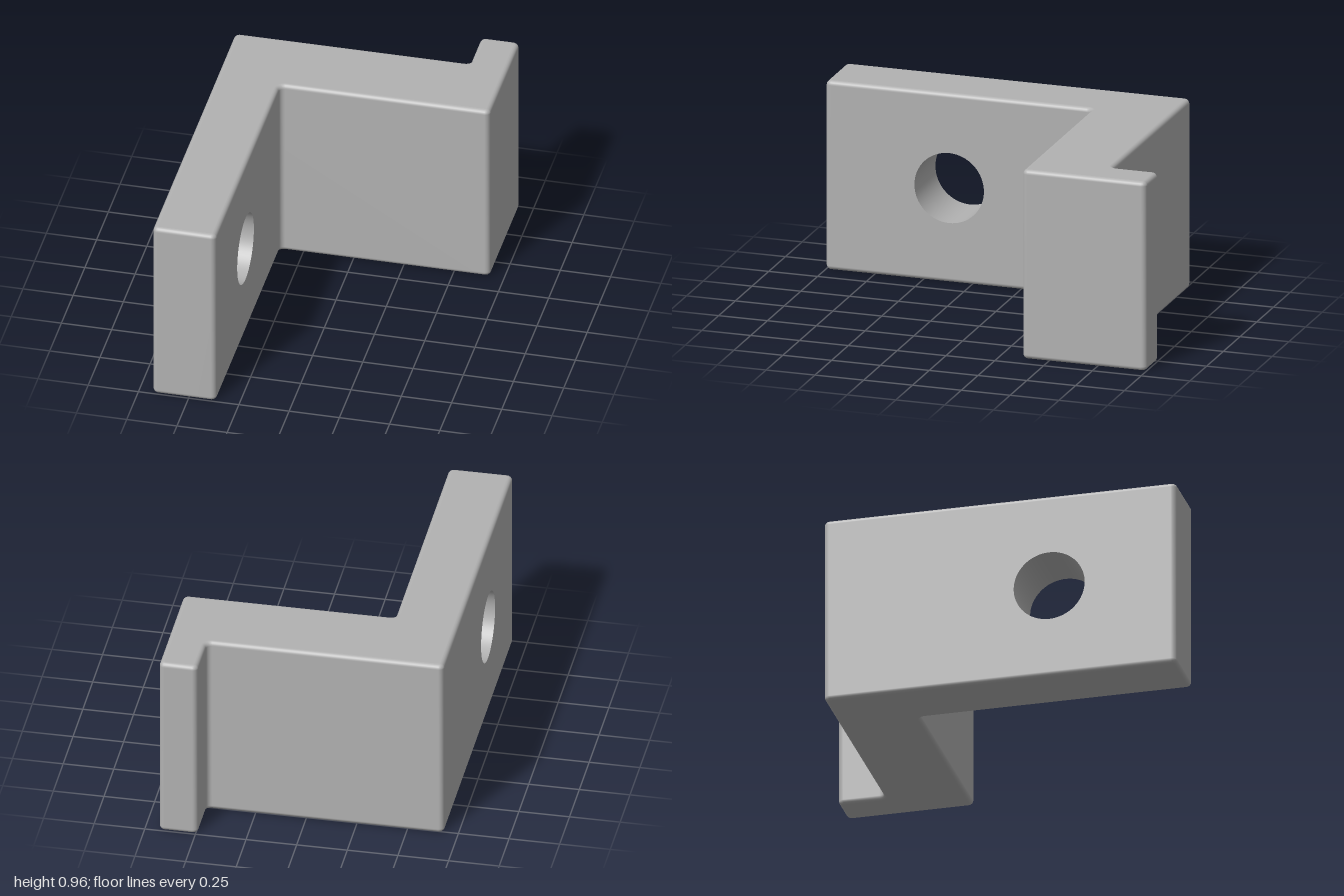
import * as THREE from 'three';
import { mergeVertices } from 'three/addons/utils/BufferGeometryUtils.js';

const HEIGHT = 0.96;
const BEVEL = 0.022;        // rounding of top and bottom edges
const FILLET = 0.027;       // rounding of vertical edges
const OUTER_X = -0.68, INNER_X = -0.365;
const HOLE = { z: 0.365, y: 0.48, r: 0.178 };

// Right-angled outline with every corner rounded by an arc
function roundedOutline(corners, r, steps) {
  const points = [];
  corners.forEach((p, i) => {
    const n = corners.length;
    const a = corners[(i + n - 1) % n].clone().sub(p).normalize();
    const b = corners[(i + 1) % n].clone().sub(p).normalize();
    for (let k = 0; k <= steps; k++) {
      const t = (k / steps) * Math.PI / 2;
      points.push(p.clone()
        .addScaledVector(a, r * (1 - Math.sin(t)))
        .addScaledVector(b, r * (1 - Math.cos(t))));
    }
  });
  return new THREE.Shape(points);
}

// Z-shaped bracket body, left open where the drilled faces go
function bodyGeometry() {
  const corners = [
    [OUTER_X, -1], [INNER_X, -1], [INNER_X, 0.365], [0.68, 0.365],
    [0.68, 1], [0.49, 1], [0.49, 0.765], [OUTER_X, 0.765],
  ].map(([x, y]) => new THREE.Vector2(x, y));
  let geo = new THREE.ExtrudeGeometry(roundedOutline(corners, FILLET, 5), {
    depth: HEIGHT - 2 * BEVEL, bevelEnabled: true, bevelSegments: 5,
    bevelSize: BEVEL, bevelThickness: BEVEL, bevelOffset: -BEVEL,
  });
  geo.translate(0, 0, BEVEL).rotateX(-Math.PI / 2);
  geo.deleteAttribute('normal');
  geo.deleteAttribute('uv');
  geo = mergeVertices(geo);
  geo.computeVertexNormals();

  const pos = geo.attributes.position;
  const old = geo.index.array;
  const kept = [];
  for (let i = 0; i < old.length; i += 3) {
    const tri = [old[i], old[i + 1], old[i + 2]];
    const onFace = [OUTER_X, INNER_X].some(
      (x) => tri.every((v) => Math.abs(pos.getX(v) - x) < 1e-4));
    if (!onFace) kept.push(...tri);
  }
  geo.clearGroups();
  geo.setIndex(kept);
  return geo;
}

// Flat leg face with the round hole; side is +1 facing +x, -1 facing -x
function drilledFace(x, zBack, side) {
  const z0 = zBack + FILLET, z1 = 1 - FILLET;
  const y0 = BEVEL, y1 = HEIGHT - BEVEL;
  const shape = new THREE.Shape(
    [[z0, y0], [z1, y0], [z1, y1], [z0, y1]].map(([z, y]) => new THREE.Vector2(-side * z, y)));
  const hole = new THREE.Path();
  hole.absarc(-side * HOLE.z, HOLE.y, HOLE.r, 0, Math.PI * 2, true);
  shape.holes.push(hole);
  return new THREE.ShapeGeometry(shape, 32).rotateY(side * Math.PI / 2).translate(x, 0, 0);
}

export function createModel() {
  const group = new THREE.Group();
  group.name = 'bracket';
  const grey = new THREE.MeshStandardMaterial({ color: 0xb2b2b2, side: THREE.DoubleSide });
  grey.name = 'grey';

  const add = (name, geometry) => {
    const mesh = new THREE.Mesh(geometry, grey);
    mesh.name = name;
    group.add(mesh);
  };

  add('bracketBody', bodyGeometry());
  add('outerLegFace', drilledFace(OUTER_X, -0.765, -1));
  add('innerLegFace', drilledFace(INNER_X, -0.365, 1));

  // Wall of the bolt hole
  const bore = new THREE.CylinderGeometry(HOLE.r, HOLE.r, INNER_X - OUTER_X, 64, 1, true);
  bore.rotateZ(Math.PI / 2).translate((INNER_X + OUTER_X) / 2, HOLE.y, HOLE.z);
  add('holeWall', bore);

  return group;
}
